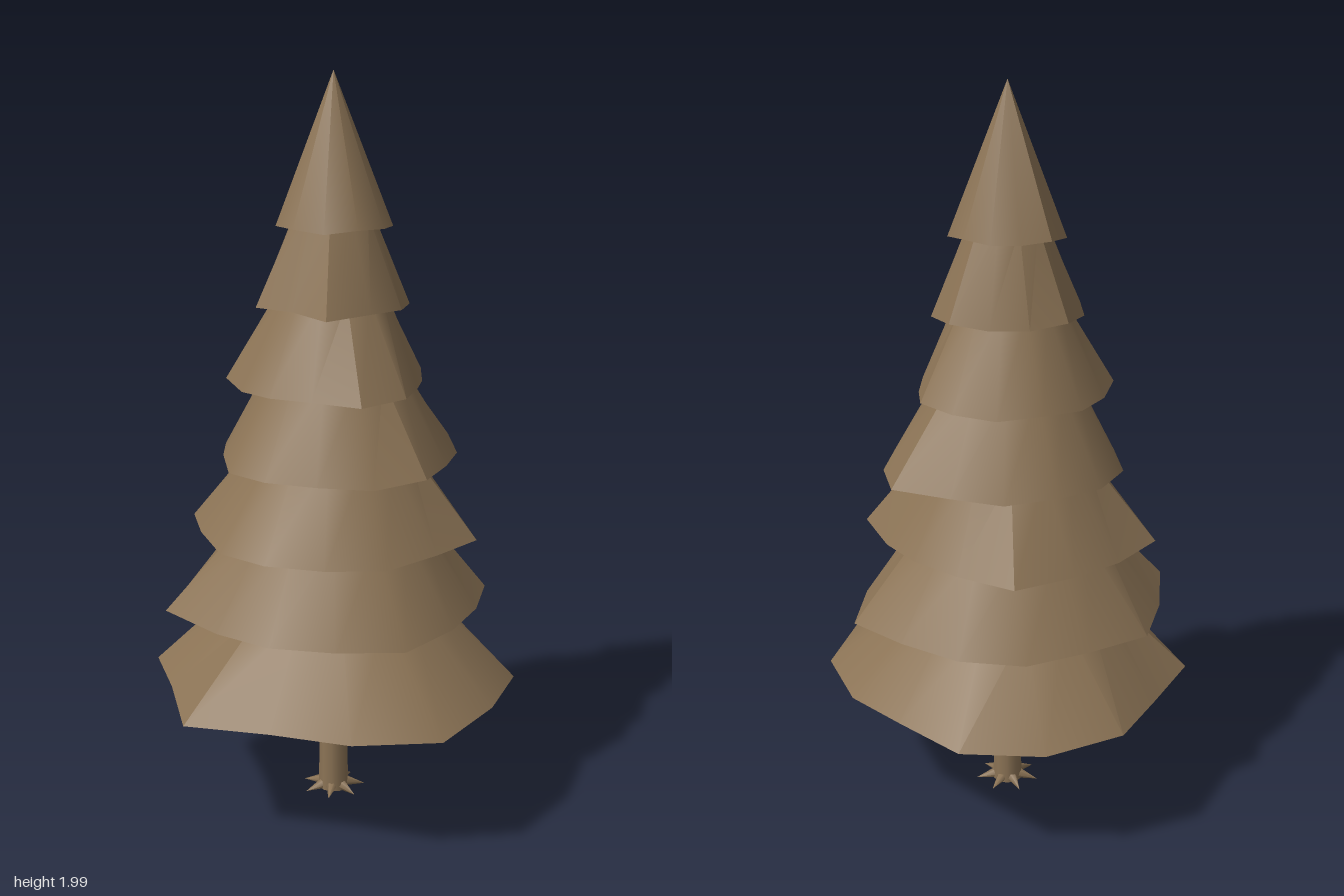
import * as THREE from 'three';
import { toCreasedNormals } from 'three/addons/utils/BufferGeometryUtils.js';

// Branch tiers from the lowest up: rim radius, top radius, and the rim corners that differ
const TIERS = [
  { rim: 0.5, top: 0.25, ragged: { 2: 0.54, 4: 0.46, 5: 0.535, 6: 0.46, 8: 0.45, 12: 0.44, 13: 0.46 } },
  { rim: 0.395, top: 0.235, ragged: { 2: 0.415, 6: 0.464, 7: 0.42, 8: 0.434, 13: 0.438 } },
  { rim: 0.36, top: 0.2, ragged: { 0: 0.396, 7: 0.404, 10: 0.376, 11: 0.33, 12: 0.325, 13: 0.335 } },
  { rim: 0.316, top: 0.18, ragged: { 1: 0.344, 2: 0.33, 6: 0.295, 12: 0.372, 13: 0.335 } },
  { rim: 0.265, top: 0.14, ragged: { 0: 0.24, 1: 0.29, 2: 0.297, 6: 0.284, 13: 0.235 } },
  { rim: 0.2, top: 0.1, ragged: { 2: 0.226, 3: 0.175, 4: 0.213, 7: 0.183, 8: 0.18 } },
  { rim: 0.154, top: 0, ragged: { 7: 0.13, 8: 0.13, 9: 0.14 } },
];

// Skirt from the ragged rim up to a rounder top ring, closed underneath
function tierGeometry({ rim, top, ragged }, level) {
  const sides = level < 5 ? 14 : 11;
  const y = 0.375 + 0.206 * level;
  const topY = top > 0 ? y + 0.24 : 2;
  const low = [], high = [], pos = [];
  for (let i = 0; i < sides; i++) {
    const angle = (i / sides) * Math.PI * 2 + 0.075 * level;
    const c = Math.cos(angle), s = Math.sin(angle);
    const r = ragged[i] ?? rim;
    const t = top * (0.7 + 0.3 * r / rim);
    low.push([c * r, y + 0.005 * Math.sin(i * 2.3), s * r]);
    high.push([c * t, topY, s * t]);
  }
  for (let i = 0; i < sides; i++) {
    const j = (i + 1) % sides;
    pos.push(...low[j], ...low[i], ...high[i]);
    if (top > 0) pos.push(...low[j], ...high[i], ...high[j]);
    pos.push(...low[i], ...low[j], 0, y, 0);
  }
  const geo = new THREE.BufferGeometry();
  geo.setAttribute('position', new THREE.Float32BufferAttribute(pos, 3));
  return toCreasedNormals(geo, top > 0 ? 0.52 : 0.85);
}

export function createModel() {
  const model = new THREE.Group();
  model.name = 'pineTree';
  const bark = new THREE.MeshStandardMaterial({ color: 0x8b7355 });
  bark.name = 'bark brown';

  const add = (name, geo) => {
    const mesh = new THREE.Mesh(geo, bark);
    mesh.name = name;
    model.add(mesh);
    return mesh;
  };

  // Branch tiers
  TIERS.forEach((tier, i) => add(`branchTier${i + 1}`, tierGeometry(tier, i)));

  // Trunk
  add('trunk', new THREE.CylinderGeometry(0.037, 0.042, 0.38, 10)).position.y = 0.2;

  // Roots: tapering spikes spreading from the trunk
  const spike = new THREE.ConeGeometry(0.018, 0.068, 6);
  spike.rotateZ(-Math.PI / 2 - 0.2).translate(0.055, 0.019, 0);
  for (let i = 0; i < 7; i++) {
    add('root', spike).rotation.y = (i / 7) * Math.PI * 2 + 0.2;
  }
  return model;
}
